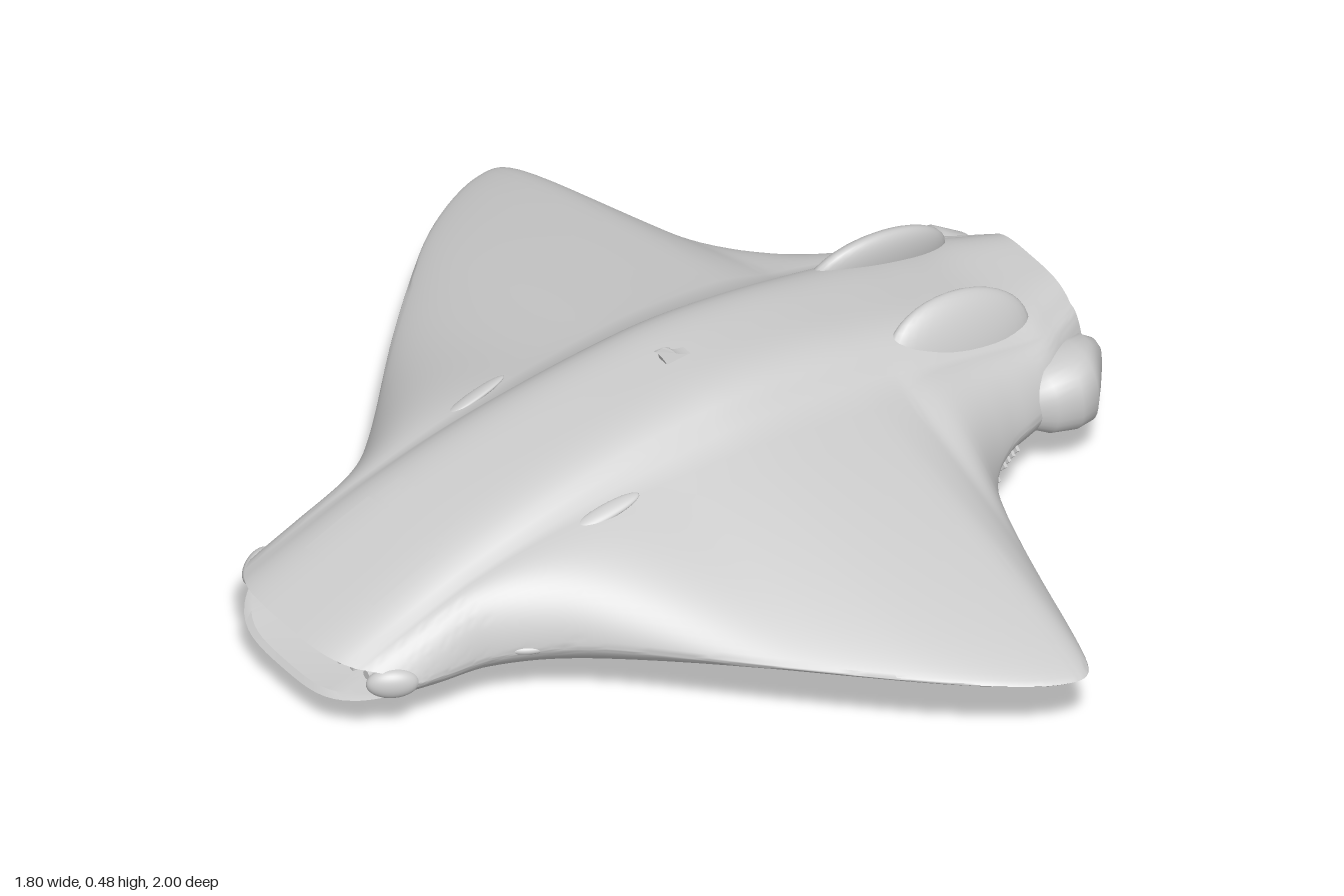
import * as THREE from 'three';
import { toCreasedNormals } from 'three/addons/utils/BufferGeometryUtils.js';

const mat = new THREE.MeshStandardMaterial({ color: 0xcccccc, side: THREE.DoubleSide });

// Smooth lookup through [x, value] pairs
function curve(pts) {
  const n = pts.length;
  const slope = (i) => {
    const a = pts[Math.max(0, i - 1)], b = pts[Math.min(n - 1, i + 1)];
    return (b[1] - a[1]) / (b[0] - a[0]);
  };
  return (x) => {
    if (x <= pts[0][0]) return pts[0][1];
    if (x >= pts[n - 1][0]) return pts[n - 1][1];
    let i = 0;
    while (x > pts[i + 1][0]) i++;
    const h = pts[i + 1][0] - pts[i][0], t = (x - pts[i][0]) / h, u = 1 - t;
    return pts[i][1] * (1 + 2 * t) * u * u + slope(i) * h * t * u * u
      + pts[i + 1][1] * t * t * (3 - 2 * t) - slope(i + 1) * h * t * t * u;
  };
}

// Hull outlines along the length: half span, roof, keel and edge height
const span = curve([[-0.76, 0.258], [-0.68, 0.267], [-0.6, 0.28], [-0.5, 0.335], [-0.4, 0.425], [-0.2, 0.64],
  [0, 0.835], [0.1, 0.915], [0.2, 0.975], [0.27, 0.998], [0.305, 0.992], [0.33, 0.955], [0.36, 0.86], [0.4, 0.71],
  [0.465, 0.48], [0.52, 0.38], [0.6, 0.315], [0.68, 0.284], [0.74, 0.262], [0.8, 0.22], [0.86, 0.18]]);
const roof = curve([[-0.9, 0.2], [-0.8, 0.243], [-0.6, 0.325], [-0.4, 0.385], [-0.2, 0.425], [0, 0.449],
  [0.1, 0.452], [0.2, 0.446], [0.3, 0.434], [0.4, 0.416], [0.5, 0.395], [0.6, 0.37], [0.72, 0.342], [0.86, 0.333]]);
const keel = curve([[-0.9, 0.09], [-0.8, 0.066], [-0.7, 0.055], [-0.5, 0.05], [-0.4, 0.044], [-0.2, 0.02],
  [0, 0.004], [0.1, 0.005], [0.2, 0.014], [0.4, 0.035], [0.6, 0.046], [0.86, 0.055]]);
const edge = curve([[-0.9, 0.148], [-0.6, 0.16], [-0.4, 0.182], [0, 0.19], [0.3, 0.17], [0.45, 0.172], [0.6, 0.18], [0.86, 0.195]]);

const bow = (s) => 0.14 * Math.max(0, 1 - (s + 0.9) / 0.3);
const halfSpan = (s) => span(s + bow(s));
const deckHalf = (s) => Math.min(0.19, 0.75 * halfSpan(s));

// Point on the upper or lower skin at station s
function skin(s, z, upper) {
  const w = halfSpan(s), r = deckHalf(s), a = Math.min(Math.abs(z), w), e = edge(s);
  const k = THREE.MathUtils.smoothstep(w, 0.28, 0.72);
  let y;
  if (upper) {
    const h = roof(s) - e, drop = 0.25 * h;
    const q = Math.max(0, (a - r) / (w - r));
    const f = Math.pow(1 - Math.pow(q, 2 - 1.05 * k), 0.65 + 0.13 * k);
    y = a <= r ? e + h - drop * Math.pow(a / r, 4) : e + (h - drop) * f;
  } else {
    y = e - (e - keel(s)) * Math.pow(1 - Math.pow(a / w, 2.4 - 1.2 * k), 0.65 + 0.09 * k);
  }
  return new THREE.Vector3(s + bow(s) * Math.pow(a / w, 4), y, z);
}

const HALF = 28;
function section(s) {
  const w = halfSpan(s), r = deckHalf(s), zs = [];
  for (let i = -HALF; i <= HALF; i++) {
    const u = Math.abs(i) / HALF;
    const z = u < 0.36 ? r * u / 0.36 : r + (w - r) * Math.sin((u - 0.36) / 0.64 * Math.PI / 2);
    zs.push(Math.sign(i) * z);
  }
  const low = zs.slice(1, -1).reverse();
  return [...zs.map((z) => skin(s, z, true)), ...low.map((z) => skin(s, z, false))];
}

// Skin a list of equal-length rings
function loft(rings, closed = true, crease = 0.6) {
  const n = rings[0].length, pos = [], idx = [];
  rings.forEach((r) => r.forEach((p) => pos.push(p.x, p.y, p.z)));
  for (let i = 0; i < rings.length - 1; i++)
    for (let j = 0; j < (closed ? n : n - 1); j++) {
      const a = i * n + j, b = i * n + (j + 1) % n;
      idx.push(a, b, a + n, b, b + n, a + n);
    }
  const g = new THREE.BufferGeometry();
  g.setAttribute('position', new THREE.Float32BufferAttribute(pos, 3));
  g.setIndex(idx);
  return toCreasedNormals(g, crease);
}

export function createModel() {
  const model = new THREE.Group();
  const add = (name, geo, p = [0, 0, 0], rot = [0, 0, 0], scale = [1, 1, 1], parent = model) => {
    const m = new THREE.Mesh(geo, mat);
    m.name = name;
    m.position.set(...p);
    m.rotation.set(...rot);
    m.scale.set(...scale);
    parent.add(m);
  };
  const ball = new THREE.SphereGeometry(1, 32, 20);

  // Blended body and wings, with closer stations around the wing tips
  const stations = [];
  for (let s = -0.9; s < 0.859; s += s > 0.19 && s < 0.42 ? 0.008 : 0.02) stations.push(s);
  stations.push(0.86);
  const rings = stations.map(section);
  add('hull', loft(rings, true, 1.4));

  // Intake mouth behind the nose lips
  const lip = rings[0];
  const shrink = (ky, kz, dx) => lip.map((p) => new THREE.Vector3(p.x + dx, 0.147 + (p.y - 0.147) * ky, p.z * kz));
  const back = lip.map(() => new THREE.Vector3(-0.74, 0.147, 0));
  add('intake', loft([back, shrink(0.7, 0.85, 0.1), shrink(0.8, 0.94, 0.01), lip]));
  const fittings = new THREE.Group();
  fittings.name = 'intakeFittings';
  model.add(fittings);
  for (let i = -4; i <= 4; i++) {
    const z = i * 0.036;
    add('intakeVane', new THREE.BoxGeometry(0.05, 0.06, 0.01), [-0.8 + z * z, 0.145, z], [0, 0, 0], [1, 1, 1], fittings);
    add('intakePipe', new THREE.CylinderGeometry(0.01, 0.01, 0.05, 12), [-0.81 + z * z, 0.135 + 0.015 * (i & 1), z + 0.015],
      [0, 0, Math.PI / 2], [1, 1, 1], fittings);
  }

  // Engine nozzle set into the tail
  const tail = rings[rings.length - 1], cy = 0.2;
  const circle = (x, r) => tail.map((p) => {
    const a = Math.atan2(p.y - cy, p.z);
    return new THREE.Vector3(x, cy + r * Math.sin(a), r * Math.cos(a));
  });
  add('nozzle', loft([tail, circle(0.845, 0.126), circle(0.835, 0.116), circle(0.77, 0.108), circle(0.76, 0.001)]));
  add('nozzleRing', new THREE.TorusGeometry(0.112, 0.008, 10, 48), [0.83, cy, 0], [0, Math.PI / 2, 0]);
  add('nozzleInnerRing', new THREE.TorusGeometry(0.095, 0.008, 10, 48), [0.79, cy, 0], [0, Math.PI / 2, 0]);
  add('engineHub', ball, [0.765, cy, 0], [0, 0, 0], [0.025, 0.02, 0.02]);
  for (let i = 0; i < 12; i++) {
    const a = i * Math.PI / 6;
    add('engineBlade', new THREE.BoxGeometry(0.012, 0.08, 0.02),
      [0.772, cy + 0.055 * Math.cos(a), 0.055 * Math.sin(a)], [a, 0, 0]);
  }

  // Cockpit window panels lying just above the roof
  const panel = (name, s0, s1, z0, z1) => {
    const rows = [];
    for (let i = 0; i <= 12; i++) {
      const row = [];
      for (let j = 0; j <= 12; j++) {
        const p = skin(s0 + (s1 - s0) * i / 12, z0 + (z1 - z0) * j / 12, true);
        p.y += 0.002;
        row.push(p);
      }
      rows.push(row);
    }
    add(name, loft(rows, false));
  };
  panel('cockpitPanel', -0.77, -0.62, -0.115, 0.115);
  panel('cockpitRearPanel', -0.61, -0.55, -0.105, -0.045);
  panel('cockpitRearPanel', -0.61, -0.55, 0.045, 0.105);

  // Swept antenna fin on the roof, thinning towards its tip
  const fin = new THREE.Shape();
  fin.moveTo(0.05, 0.445);
  fin.lineTo(-0.005, 0.445);
  fin.quadraticCurveTo(-0.01, 0.465, -0.028, 0.483);
  fin.quadraticCurveTo(0.005, 0.485, 0.018, 0.463);
  fin.quadraticCurveTo(0.03, 0.455, 0.05, 0.452);
  const finGeo = new THREE.ExtrudeGeometry(fin, { depth: 0.03, bevelEnabled: false });
  const fp = finGeo.attributes.position;
  for (let i = 0; i < fp.count; i++) fp.setZ(i, (fp.getZ(i) - 0.015) * Math.max(0.08, (0.483 - fp.getY(i)) / 0.038));
  finGeo.computeVertexNormals();
  add('dorsalFin', finGeo);

  // Tail pod cross-sections: x, half height, inner z, outer z
  const podRings = [[0.64, 0.02, 0.16, 0.23], [0.68, 0.055, 0.15, 0.272], [0.72, 0.075, 0.14, 0.297], [0.77, 0.082, 0.14, 0.31],
    [0.81, 0.082, 0.14, 0.302], [0.85, 0.07, 0.145, 0.252], [0.88, 0.045, 0.155, 0.212], [0.896, 0.018, 0.165, 0.187], [0.897, 0.001, 0.174, 0.176]]
    .map(([x, h, z0, z1]) => Array.from({ length: 32 }, (_, j) => {
      const a = j / 32 * Math.PI * 2, c = Math.cos(a), d = Math.sin(a);
      const round = (v) => Math.sign(v) * Math.pow(Math.abs(v), 0.85);
      return new THREE.Vector3(x, 0.192 + h * round(d), (z0 + z1) / 2 - (z1 - z0) / 2 * round(c));
    }));

  // Paired details on both sides
  for (const side of [1, -1]) {
    // Mirrored rings are reversed so the faces keep pointing outwards
    const pod = podRings.map((r) => r.map((p) => new THREE.Vector3(p.x, p.y, p.z * side)));
    add('tailPod', loft(side > 0 ? pod : pod.map((r) => r.reverse()), true, 0.9));
    add('roofFin', ball, [0.59, 0.335, side * 0.143], [side * -0.3, side * 0.03, -0.14], [0.165, 0.1, 0.036]);
    const b = skin(-0.295, side * 0.225, true);
    add('shoulderScoop', ball, [b.x, b.y, b.z], [side * 0.3, 0, 0.23], [0.075, 0.008, 0.018]);
    add('sideScoop', ball, [-0.53, 0.166, side * 0.298], [0, side * -0.5, 0], [0.045, 0.012, 0.018]);
    add('mouthPod', ball, [-0.8, 0.152, side * 0.228], [0, side * -0.5, 0], [0.052, 0.032, 0.024]);

    // Slatted vents under the trailing edge
    for (let i = 0; i < 9; i++) {
      const s = 0.465 + i * 0.016 + (i > 4 ? 0.02 : 0);
      const p = skin(s, side * halfSpan(s) * 0.93, false);
      add('ventSlat', new THREE.BoxGeometry(0.007, 0.05, 0.012), [p.x, p.y, p.z], [side * 0.75, 0, -0.2]);
    }
  }
  return model;
}
